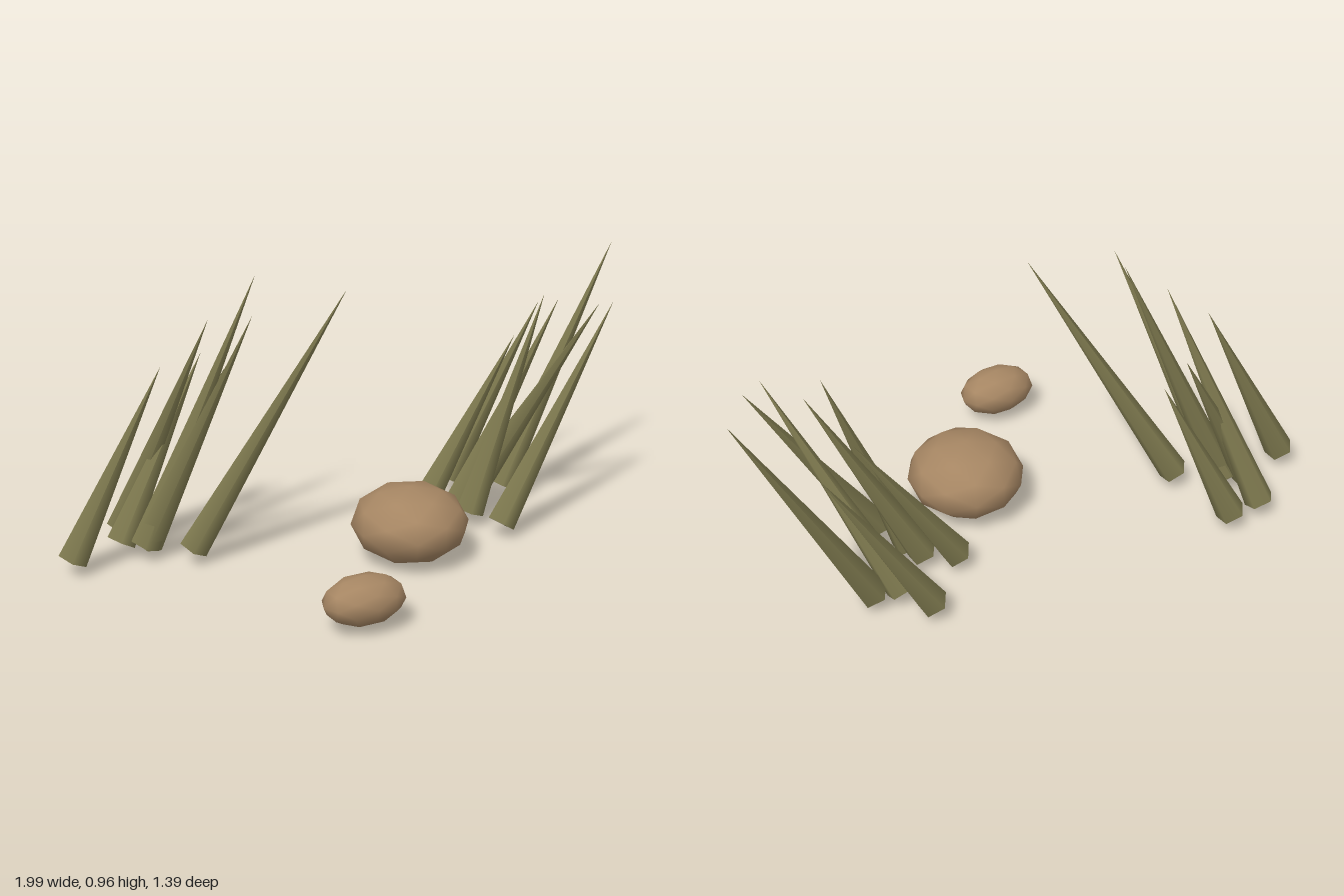
import * as THREE from 'three';

const grassMat = new THREE.MeshStandardMaterial({ color: 0x807b50 });
grassMat.name = 'dryGrass';
const rockMat = new THREE.MeshStandardMaterial({ color: 0xa68663 });
rockMat.name = 'sandstone';

// Each blade: base x, base z, tip x, tip y, tip z
const BASE_Y = 0.055;
const BLADES = {
  leftTuft: [
    [-0.95, 0.07, -0.64, 0.69, -0.01],
    [-0.675, -0.27, -0.42, 0.59, -0.285],
    [-0.79, -0.22, -0.48, 0.83, -0.06],
    [-0.79, -0.07, -0.5, 0.66, -0.25],
    [-0.7, -0.05, -0.345, 0.89, 0.115],
    [-0.71, -0.035, -0.32, 0.96, -0.12],
    [-0.55, 0.01, -0.03, 0.94, 0.01],
  ],
  rightTuft: [
    [0.39, -0.555, 0.74, 0.67, -0.7],
    [0.48, -0.465, 0.87, 0.78, -0.28],
    [0.57, -0.47, 1.0, 0.89, -0.69],
    [0.27, -0.31, 0.61, 0.62, -0.46],
    [0.38, -0.28, 0.75, 0.77, -0.39],
    [0.42, -0.22, 0.69, 0.8, -0.345],
    [0.51, -0.1, 0.93, 0.77, -0.33],
  ],
};

// Slim five-sided cone running from a base point to a tip point
function blade([bx, bz, tx, ty, tz], i) {
  const base = new THREE.Vector3(bx, BASE_Y, bz);
  const dir = new THREE.Vector3(tx, ty, tz).sub(base);
  const length = dir.length();
  const geo = new THREE.ConeGeometry(0.052, length, 5);
  geo.translate(0, length / 2, 0);
  const mesh = new THREE.Mesh(geo, grassMat);
  mesh.name = 'grassBlade' + (i + 1);
  mesh.position.copy(base);
  mesh.quaternion.setFromUnitVectors(new THREE.Vector3(0, 1, 0), dir.normalize());
  return mesh;
}

// Low-poly, smooth-shaded pebble
function rock(name, position, radii, turn) {
  const mesh = new THREE.Mesh(new THREE.IcosahedronGeometry(1, 1), rockMat);
  mesh.name = name;
  mesh.position.set(...position);
  mesh.scale.set(...radii);
  mesh.rotation.y = turn;
  return mesh;
}

export function createModel() {
  const model = new THREE.Group();
  model.name = 'grassAndRocks';

  for (const [name, list] of Object.entries(BLADES)) {
    const tuft = new THREE.Group();
    tuft.name = name;
    list.forEach((b, i) => tuft.add(blade(b, i)));
    model.add(tuft);
  }

  model.add(rock('largeRock', [0.177, 0.13, 0.038], [0.2, 0.128, 0.212], 0));
  model.add(rock('smallRock', [-0.038, 0.1, 0.585], [0.143, 0.081, 0.1], 0.4));
  return model;
}
